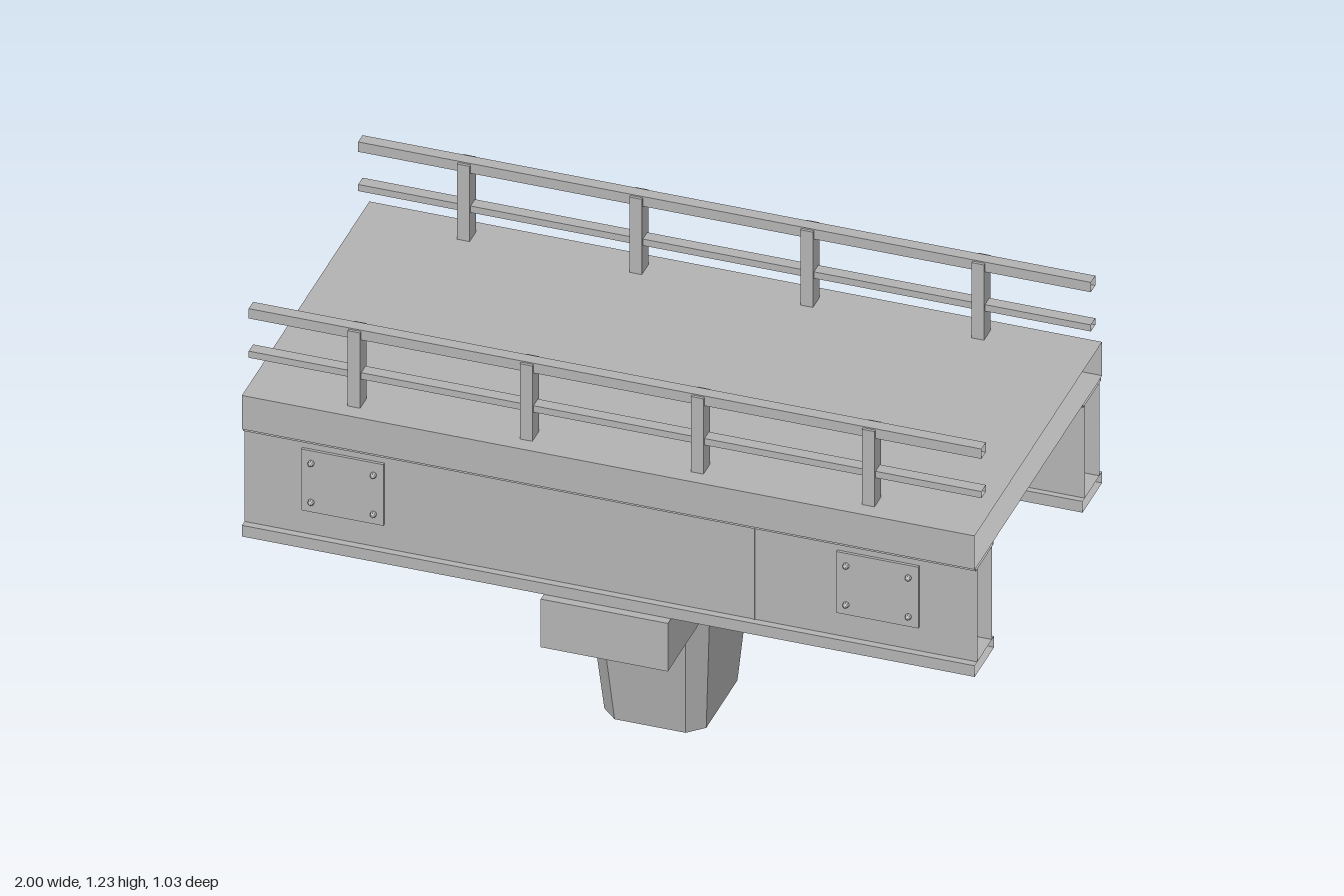
import * as THREE from 'three';

export function createModel() {
  const model = new THREE.Group();
  model.name = 'bridgeSection';
  const concrete = new THREE.MeshStandardMaterial({ color: 0xb2b2b2, side: THREE.DoubleSide, flatShading: true });
  concrete.name = 'plain grey';

  const add = (parent, name, geometry, x = 0, y = 0, z = 0) => {
    const mesh = new THREE.Mesh(geometry, concrete);
    mesh.name = name;
    mesh.position.set(x, y, z);
    parent.add(mesh);
    return mesh;
  };

  // Solid block given by its limits
  const block = (parent, name, x0, x1, y0, y1, z0, z1) =>
    add(parent, name, new THREE.BoxGeometry(x1 - x0, y1 - y0, z1 - z0),
      (x0 + x1) / 2, (y0 + y1) / 2, (z0 + z1) / 2);

  // Full-length hollow section: a box without its two x end faces
  const sleeve = (parent, name, y0, y1, z0, z1) => {
    const geometry = new THREE.BoxGeometry(2, y1 - y0, z1 - z0);
    geometry.setIndex(Array.from(geometry.index.array).slice(12));
    geometry.clearGroups();
    return add(parent, name, geometry, 0, (y0 + y1) / 2, (z0 + z1) / 2);
  };

  // Road deck, open at both ends so that sections join
  sleeve(model, 'deck', 0.893, 0.996, -0.49, 0.49);

  // Girder, joint plates and railing of each side
  const boltGeometry = new THREE.SphereGeometry(0.009, 8, 4, 0, Math.PI * 2, 0, Math.PI / 2);
  boltGeometry.rotateX(Math.PI / 2);
  for (const s of [1, -1]) {
    const side = new THREE.Group();
    side.name = s > 0 ? 'frontSide' : 'backSide';
    if (s < 0) side.rotation.y = Math.PI;
    model.add(side);

    sleeve(side, 'girderTopFlange', 0.883, 0.892, 0.345, 0.482);
    sleeve(side, 'girderWeb', 0.599, 0.883, 0.357, 0.47);
    sleeve(side, 'girderBottomFlange', 0.565, 0.599, 0.34, 0.49);

    for (const m of [-1, 1]) {
      const seam = 0.39 * m;
      block(side, 'webSeam', seam - 0.003, seam + 0.003, 0.599, 0.883, 0.467, 0.472);

      const cx = 0.73 * m;
      block(side, 'jointPlate', cx - 0.112, cx + 0.112, 0.672, 0.859, 0.469, 0.478);
      for (const dx of [-0.085, 0.085])
        for (const y of [0.703, 0.822])
          add(side, 'bolt', boltGeometry, cx + dx, y, 0.478).scale.z = 1.5;
    }

    // Railing
    sleeve(side, 'topRail', 1.2, 1.23, 0.404, 0.438);
    sleeve(side, 'middleRail', 1.08, 1.1, 0.404, 0.438);
    for (const px of [-0.71, -0.24, 0.227, 0.694]) {
      const x = px * s;
      block(side, 'railPost', x - 0.017, x + 0.017, 0.986, 1.226, 0.396, 0.446);
    }

    block(side, 'bearingPad', -0.13, 0.13, 0.562, 0.59, 0.288, 0.431);
  }

  // Pier cap
  block(model, 'pierCap', -0.176, 0.171, 0.418, 0.565, -0.514, 0.514);

  // Tapered pier with chamfered corners, open at the foot
  const ring = (y, hx, fx, hz, fz) => [
    [hx, fz], [fx, hz], [-fx, hz], [-hx, fz],
    [-hx, -fz], [-fx, -hz], [fx, -hz], [hx, -fz],
  ].map(([x, z]) => [x, y, z]);
  const foot = ring(0, 0.139, 0.097, 0.16, 0.12);
  const head = ring(0.418, 0.169, 0.12, 0.225, 0.176);
  const points = [];
  for (let i = 0; i < 8; i++) {
    const j = (i + 1) % 8;
    points.push(foot[i], head[i], head[j], foot[i], head[j], foot[j]);
  }
  const pierGeometry = new THREE.BufferGeometry();
  pierGeometry.setAttribute('position', new THREE.Float32BufferAttribute(points.flat(), 3));
  // Corner order runs clockwise from outside, so flip each triangle
  pierGeometry.setIndex(points.map((_, i) => i - (i % 3) + [0, 2, 1][i % 3]));
  const a = pierGeometry.index.array;
  const va = new THREE.Vector3(...points[a[0]]);
  const vb = new THREE.Vector3(...points[a[1]]);
  const vc = new THREE.Vector3(...points[a[2]]);
  const normal = vb.clone().sub(va).cross(vc.clone().sub(va));
  if (normal.dot(va.clone().setY(0)) < 0) pierGeometry.setIndex(points.map((_, i) => i));
  pierGeometry.computeVertexNormals();
  add(model, 'pier', pierGeometry, -0.003, 0, 0);

  return model;
}
